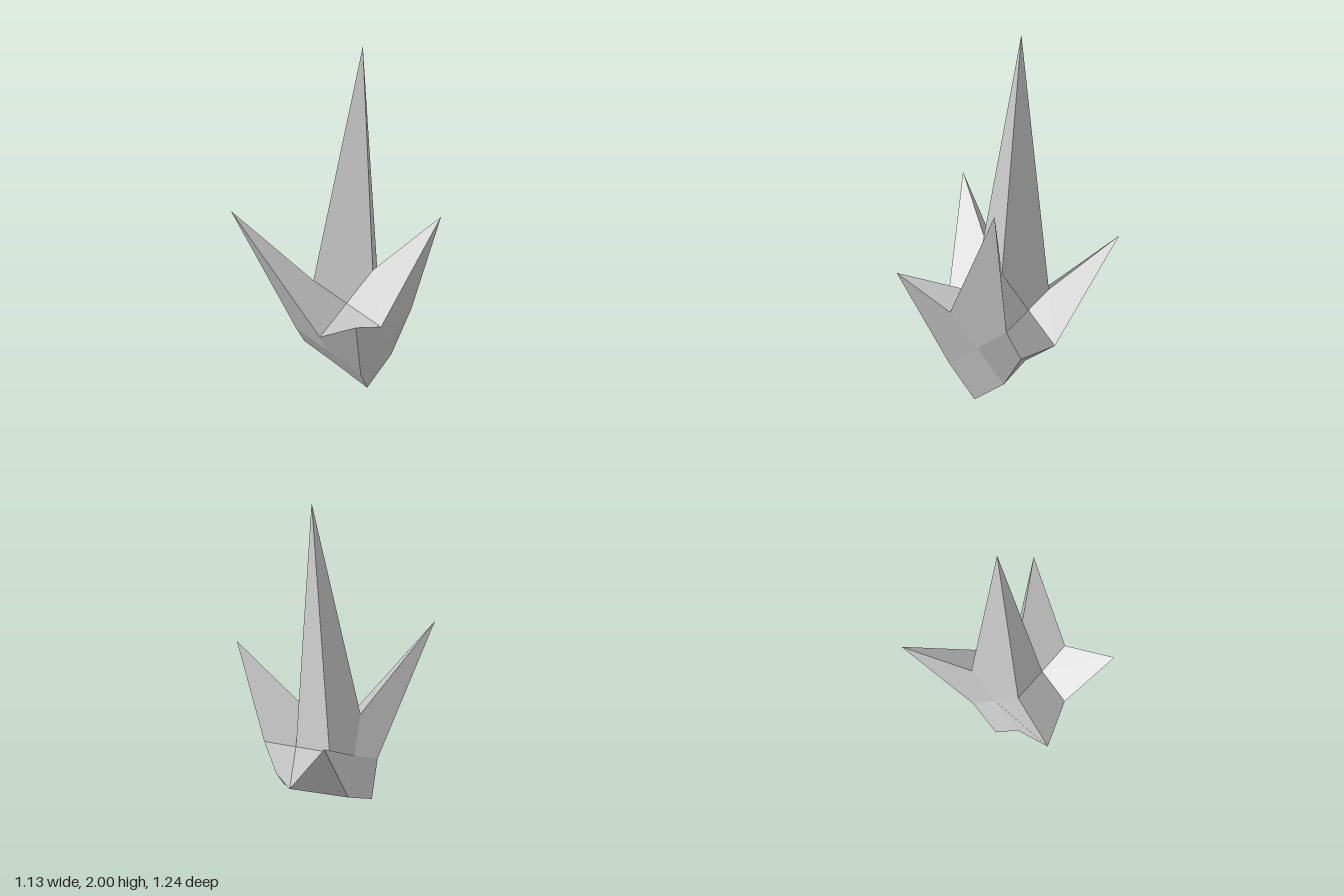
import * as THREE from 'three';

// The crystal is a skewed block with each face split 2 x 2; its corners are pulled into spikes.
const center = new THREE.Vector3(0.097, 0.394, 0.056);
const axes = [
  new THREE.Vector3(-0.043, 0.196, 0.14),
  new THREE.Vector3(0.151, 0.132, -0.14),
  new THREE.Vector3(-0.188, 0.061, -0.147),
];

// Moved corners, keyed by their signs along the three axes
const corners = {
  '1,1,1': [0.135, 2, -0.058], // tall spike
  '1,-1,1': [-0.565, 1.18, 0.195], // side spike at -x
  '1,1,-1': [0.565, 1.11, 0.14], // side spike at +x
  '1,-1,-1': [0.093, 0.72, 0.622], // front spike
  '-1,1,1': [0.102, 0.895, -0.622], // back spike
  '-1,1,-1': [0.37, 0.29, -0.025], // dented corner
  '-1,-1,-1': [0.179, 0, 0.208], // foot
};

function gridPoint(g) {
  const moved = corners[g.join(',')];
  if (moved) return new THREE.Vector3(...moved);
  const p = center.clone();
  g.forEach((s, i) => p.addScaledVector(axes[i], s));
  return p;
}

function crystalGeometry() {
  const points = [];
  const normals = [];
  for (let axis = 0; axis < 3; axis++) {
    for (const side of [1, -1]) {
      const at = (u, v) => {
        const g = [0, 0, 0];
        g[axis] = side;
        g[(axis + 1) % 3] = u;
        g[(axis + 2) % 3] = v;
        return gridPoint(g);
      };
      for (const u of [1, -1]) {
        for (const v of [1, -1]) {
          const parity = side * u * v;
          const mid = at(0, 0), tip = at(u, v);
          let first = at(u, 0), last = at(0, v);
          if (parity < 0) [first, last] = [last, first];
          // The fold alternates: face centre to tip, or across the foot of the spike
          if (parity === (axis === 2 ? -1 : 1)) points.push(mid, first, tip, mid, tip, last);
          else points.push(mid, first, last, first, tip, last);
          // One shared normal keeps each quad a single flat facet
          const normal = tip.clone().sub(mid).cross(last.clone().sub(first)).normalize();
          for (let i = 0; i < 6; i++) normals.push(...normal.toArray());
        }
      }
    }
  }
  const geometry = new THREE.BufferGeometry().setFromPoints(points);
  geometry.setAttribute('normal', new THREE.Float32BufferAttribute(normals, 3));
  return geometry;
}

export function createModel() {
  const group = new THREE.Group();
  group.name = 'crystalCluster';
  const material = new THREE.MeshStandardMaterial({ color: 0xcccccc });
  const crystal = new THREE.Mesh(crystalGeometry(), material);
  crystal.name = 'spikedCrystal';
  group.add(crystal);
  return group;
}
